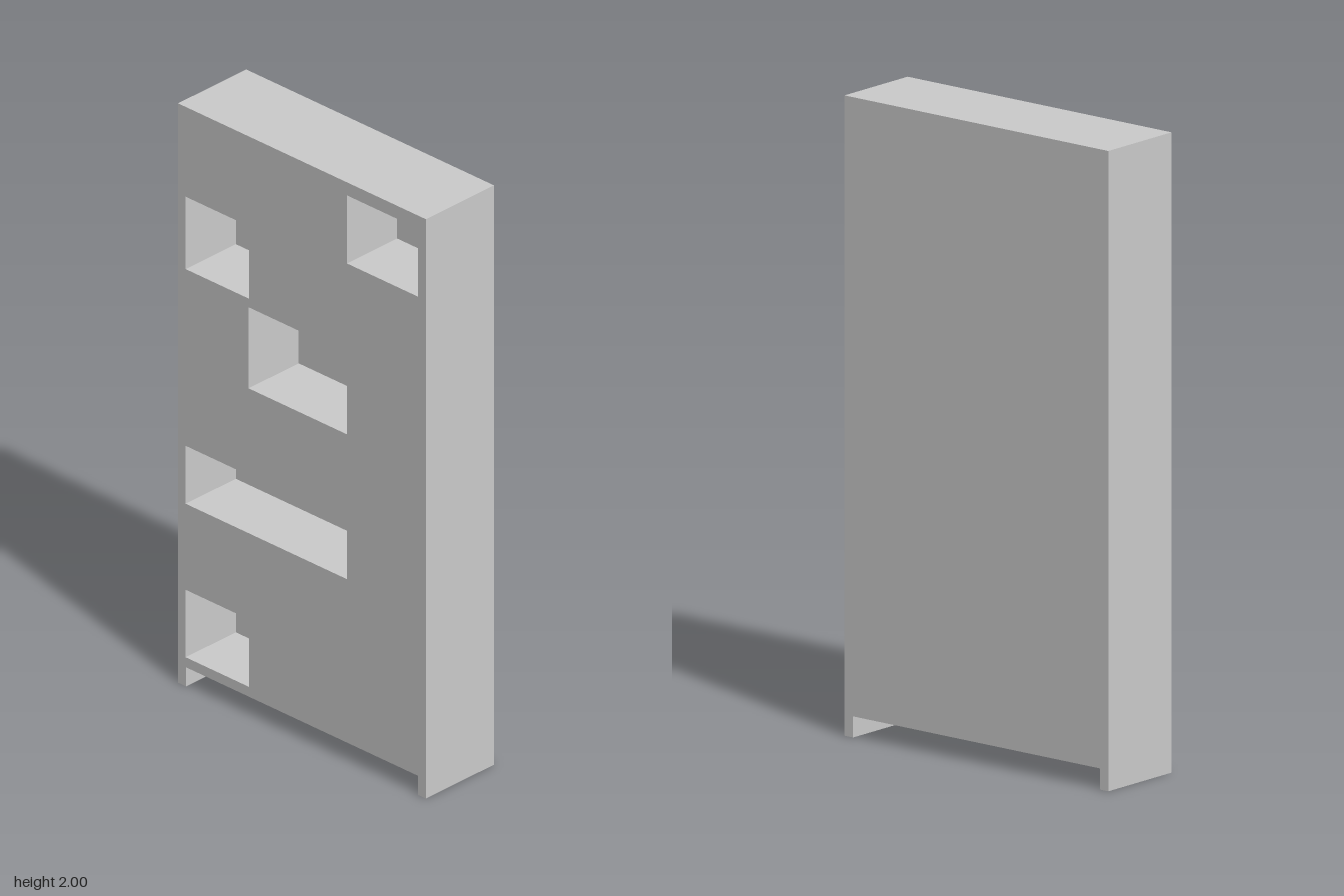
import * as THREE from 'three';

const W = 0.522, D = 0.148, H = 2; // half width, half depth, height
const NICHE_BACK = -0.07;
const LEG_X = 0.488, LEG_Y = 0.066;

// Niches as [x0, x1, y0, y1]
const NICHES = [
  [0.19, 0.488, 1.72, 1.955],
  [-0.49, -0.222, 1.44, 1.69],
  [-0.225, 0.19, 1.13, 1.41],
  [-0.49, 0.19, 0.63, 0.83],
  [-0.49, -0.222, 0.1, 0.333],
];

const points = (list) => list.map(([x, y]) => new THREE.Vector2(x, y));

// Outline of the cabinet with the low gap between its two side legs
function outline() {
  return new THREE.Shape(points([
    [-W, 0], [-LEG_X, 0], [-LEG_X, LEG_Y], [LEG_X, LEG_Y],
    [LEG_X, 0], [W, 0], [W, H], [-W, H],
  ]));
}

function slab(name, shape, z0, z1, material) {
  const geometry = new THREE.ExtrudeGeometry(shape, { depth: z1 - z0, bevelEnabled: false });
  geometry.translate(0, 0, z0);
  const mesh = new THREE.Mesh(geometry, material);
  mesh.name = name;
  return mesh;
}

export function createModel() {
  const group = new THREE.Group();
  group.name = 'shelfCabinet';
  const material = new THREE.MeshStandardMaterial({ color: 0xcccccc });

  // Thick front body pierced by the niches
  const front = outline();
  for (const [x0, x1, y0, y1] of NICHES) {
    front.holes.push(new THREE.Path(points([[x0, y0], [x0, y1], [x1, y1], [x1, y0]])));
  }
  group.add(slab('nicheBody', front, NICHE_BACK, D, material));

  // Plain panel closing the niches at the back
  group.add(slab('backPanel', outline(), -D, NICHE_BACK, material));
  return group;
}
